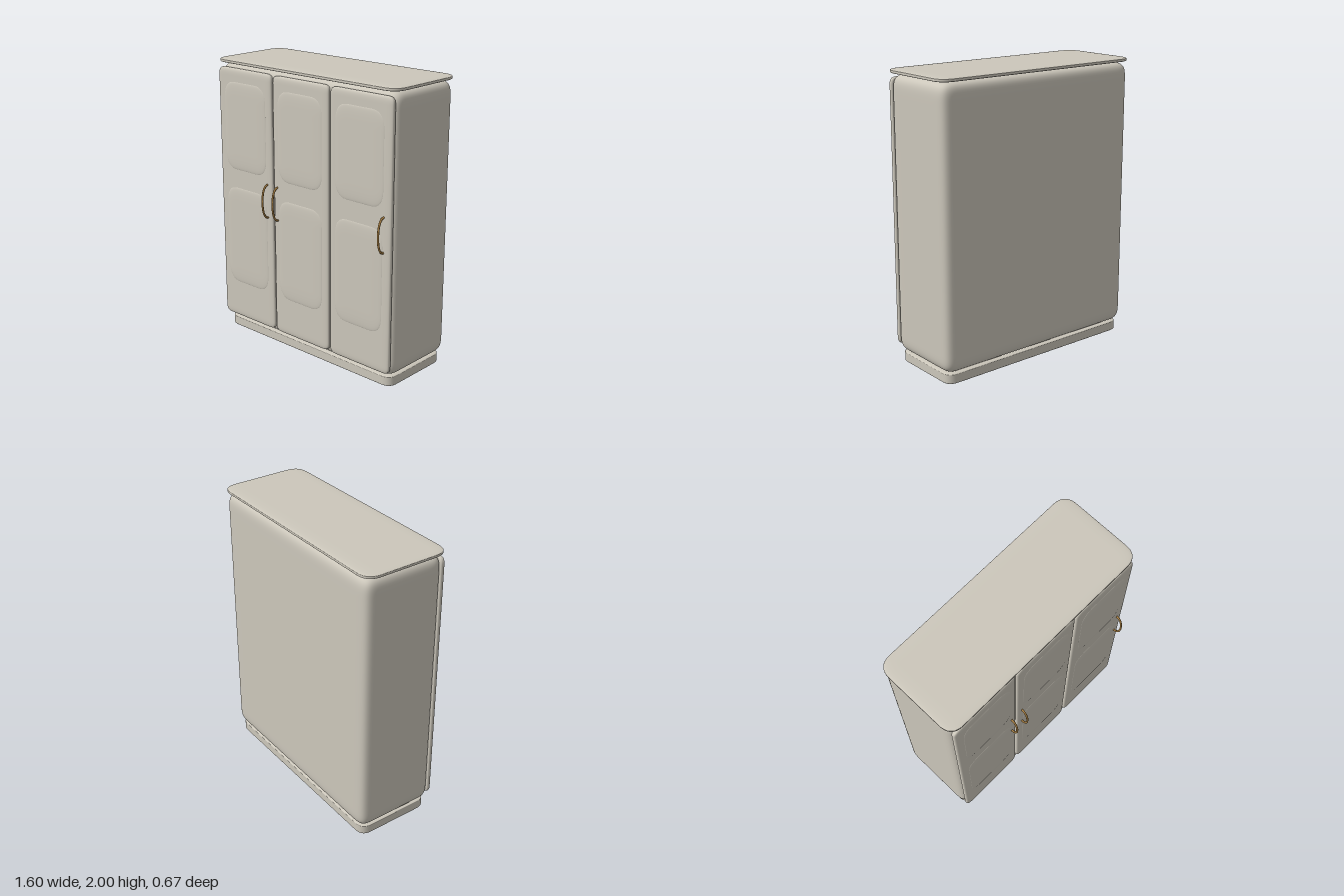
import * as THREE from 'three';

// Soft box: corner zones of radius r = [rx, ry, rz] follow a superellipsoid of power p
function softBox(min, max, r, p, k = 7) {
  const n = 2 * k + 1;
  const size = max.map((v, i) => v - min[i]);
  const geo = new THREE.BoxGeometry(1, 1, 1, n, n, n);
  const pos = geo.attributes.position, nor = geo.attributes.normal;
  const normal = new THREE.Vector3();
  for (let v = 0; v < pos.count; v++) {
    const d = [pos.getX(v), pos.getY(v), pos.getZ(v)].map((c) => {
      const i = Math.round((c + 0.5) * n);
      return i <= k ? -(k - i) / k : (i - k - 1) / k;
    });
    const neg = [pos.getX(v) < 0, pos.getY(v) < 0, pos.getZ(v) < 0];
    const len = Math.pow(d.reduce((s, c) => s + Math.pow(Math.abs(c), p), 0), 1 / p);
    const out = d.map((c, a) => {
      const core = (min[a] + max[a]) / 2 + (neg[a] ? -1 : 1) * (size[a] / 2 - r[a]);
      return core + r[a] * c / len;
    });
    pos.setXYZ(v, ...out);
    normal.set(...d.map((c, a) => Math.sign(c) * Math.pow(Math.abs(c / len), p - 1) / r[a])).normalize();
    nor.setXYZ(v, normal.x, normal.y, normal.z);
  }
  return geo;
}

export function createModel() {
  const group = new THREE.Group();
  const paint = new THREE.MeshStandardMaterial({ color: 0xccc7bb });
  paint.name = 'warm grey paint';
  const brass = new THREE.MeshStandardMaterial({ color: 0xa87f42 });
  brass.name = 'brass';

  const add = (name, geo, mat = paint) => {
    const mesh = new THREE.Mesh(geo, mat);
    mesh.name = name;
    group.add(mesh);
  };

  // Carcass, base and top board
  add('carcass', softBox([-0.785, 0.08, -0.33], [0.785, 1.967, 0.255], [0.16, 0.16, 0.14], 5, 10));
  add('plinth', softBox([-0.765, 0, -0.31], [0.765, 0.08, 0.24], [0.08, 0.012, 0.08], 2.6));
  add('topBoard', softBox([-0.8, 1.968, -0.337], [0.8, 2, 0.279], [0.11, 0.01, 0.11], 2.6));

  // Three doors, each with two raised panels
  const doors = [['right', -0.775, -0.265, -0.515], ['middle', -0.25, 0.25, 0], ['left', 0.265, 0.775, 0.515]];
  for (const [side, x0, x1, cx] of doors) {
    add(side + 'Door', softBox([x0, 0.113, 0.238], [x1, 1.942, 0.278], [0.06, 0.06, 0.018], 3.2));
    for (const [part, y0, y1] of [['Lower', 0.385, 1.1], ['Upper', 1.232, 1.852]]) {
      add(side + part + 'Panel',
        softBox([cx - 0.2, y0, 0.266], [cx + 0.2, y1, 0.284], [0.11, 0.13, 0.008], 2.6));
    }
  }

  // Bowed handles
  for (const [side, x] of [['right', -0.307], ['middle', -0.21], ['left', 0.72]]) {
    const curve = new THREE.CatmullRomCurve3([
      [0.947, 0.274], [0.955, 0.298], [0.99, 0.319], [1.065, 0.329],
      [1.14, 0.319], [1.175, 0.298], [1.183, 0.274],
    ].map(([y, z]) => new THREE.Vector3(x, y, z)));
    add(side + 'Handle', new THREE.TubeGeometry(curve, 32, 0.007, 10), brass);
  }
  return group;
}
